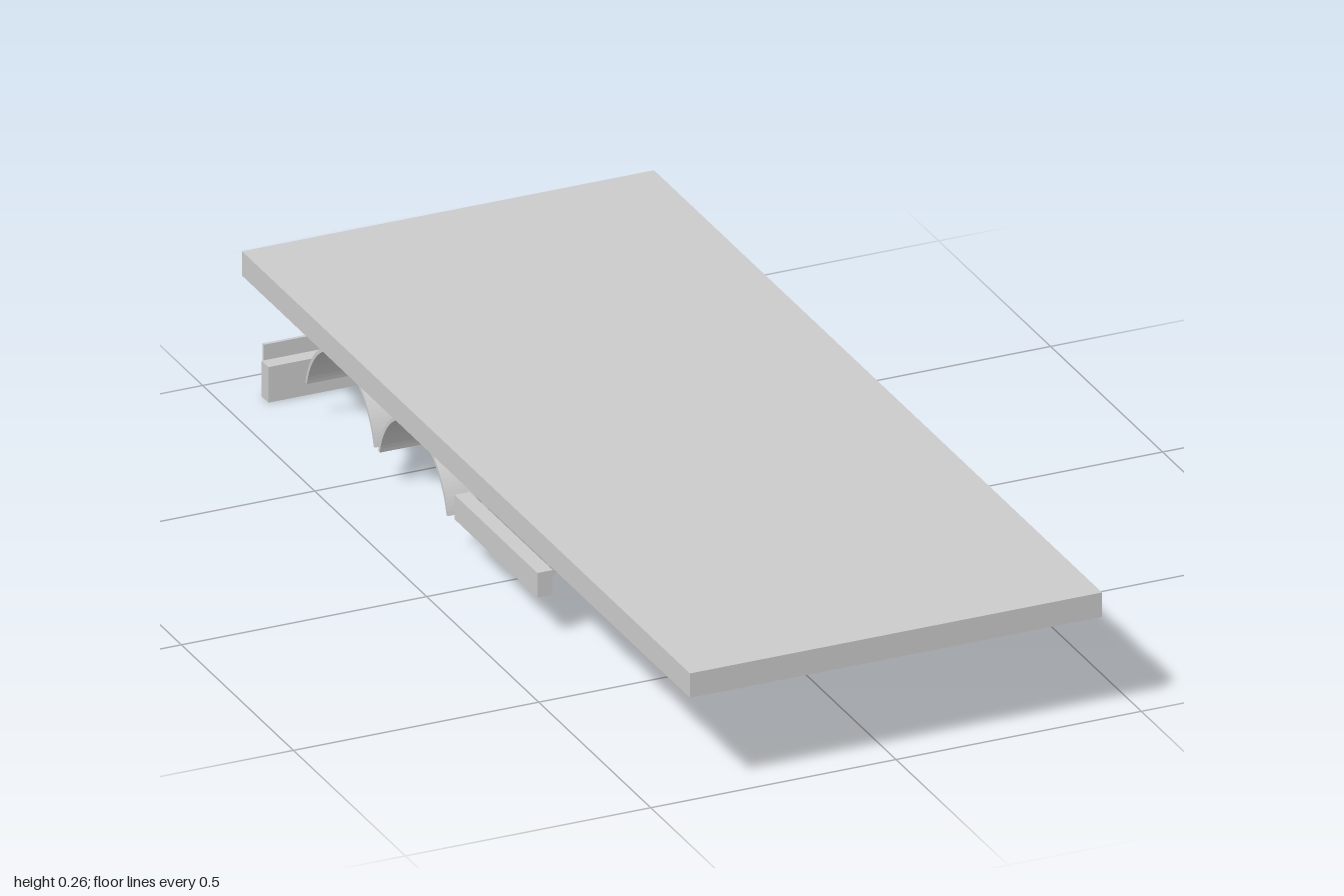
import * as THREE from 'three';

const grey = new THREE.MeshStandardMaterial({ color: 0xcccccc, side: THREE.DoubleSide });

export function createModel() {
  const root = new THREE.Group();

  const add = (name, geometry) => {
    const mesh = new THREE.Mesh(geometry, grey);
    mesh.name = name;
    root.add(mesh);
    return mesh;
  };
  // Box given by its limits on each axis
  const box = (name, x0, x1, y0, y1, z0, z1) => {
    const mesh = add(name, new THREE.BoxGeometry(Math.abs(x1 - x0), y1 - y0, z1 - z0));
    mesh.position.set((x0 + x1) / 2, (y0 + y1) / 2, (z0 + z1) / 2);
    return mesh;
  };
  // Side profile drawn as (z, y), extruded from x0 to x1
  const sideExtrude = (name, shape, x0, x1) => {
    const geometry = new THREE.ExtrudeGeometry(shape, { depth: x1 - x0, bevelEnabled: false, curveSegments: 24 });
    geometry.rotateY(-Math.PI / 2); // shape x -> +z, depth -> -x
    geometry.translate(x1, 0, 0);
    return add(name, geometry);
  };
  const rect = (x0, x1, y0, y1, Type = THREE.Shape) => new Type([
    new THREE.Vector2(x0, y0), new THREE.Vector2(x1, y0),
    new THREE.Vector2(x1, y1), new THREE.Vector2(x0, y1),
  ]);

  // Load deck, with a rear frame holding two light recesses
  box('deck', -0.42, 0.42, 0.21, 0.26, -0.99, 1);
  const frame = rect(-0.42, 0.42, 0.21, 0.26);
  for (const s of [-1, 1]) {
    frame.holes.push(rect(s * 0.29 - 0.12 * (s < 0), s * 0.29 + 0.12 * (s > 0), 0.215, 0.255, THREE.Path));
  }
  add('deckRearFrame', new THREE.ExtrudeGeometry(frame, { depth: 0.01, bevelEnabled: false })).position.z = -1;

  // Central chassis beam
  box('chassis', -0.176, 0.176, 0.137, 0.21, -0.81, 0.29);

  // Axles: profile with two raised pads, stub arms and hub plates
  for (const z of [-0.295, -0.62]) {
    const axle = new THREE.Shape([
      [-0.132, 0.03], [0.132, 0.03], [0.132, 0.085], [0.09, 0.085], [0.09, 0.137], [0.044, 0.137], [0.044, 0.085],
      [-0.044, 0.085], [-0.044, 0.137], [-0.09, 0.137], [-0.09, 0.085], [-0.132, 0.085],
    ].map(([x, y]) => new THREE.Vector2(x, y)));
    add('axle', new THREE.ExtrudeGeometry(axle, { depth: 0.06, bevelEnabled: false })).position.z = z - 0.03;
  }

  for (const s of [-1, 1]) {
    // Rear lights inside the recess
    for (let i = 0; i < 3; i++) {
      const x = s * (0.31 + i * 0.04);
      box('rearLight', x - 0.018, x + 0.018, 0.217, 0.253, -0.994, -0.989);
    }

    for (const z of [-0.295, -0.62]) {
      box('axleArm', s * 0.13, s * 0.27, 0.05, 0.065, z - 0.01, z + 0.01);
      box('hubPlate', s * 0.268, s * 0.293, 0.033, 0.083, z - 0.032, z + 0.032);

      // Mudguard arch
      const arch = new THREE.Shape();
      const a = 0.23;
      arch.absarc(z, 0.047, 0.16, a, Math.PI - a, false);
      arch.absarc(z, 0.047, 0.153, Math.PI - a, a, true);
      arch.closePath();
      const x0 = s > 0 ? 0.293 : -0.393;
      sideExtrude('mudguard', arch, x0, x0 + 0.1);
    }

    // Side guard rail with its hangers
    box('sideRail', s * 0.362, s * 0.393, 0.09, 0.14, -0.11, 0.26);
    for (const z of [0.24, -0.088]) box('railHanger', s * 0.351, s * 0.362, 0.12, 0.21, z - 0.007, z + 0.007);

    // Bumper supports: straight rod to the rear axle and curved strut to the deck
    box('bumperRod', s * 0.149, s * 0.161, 0.031, 0.045, -0.885, -0.585);
    const strut = new THREE.Shape();
    strut.moveTo(-0.841, 0.21);
    strut.quadraticCurveTo(-0.852, 0.125, -0.888, 0.065);
    strut.lineTo(-0.897, 0.065);
    strut.quadraticCurveTo(-0.86, 0.125, -0.848, 0.21);
    const x0 = s > 0 ? 0.15 : -0.158;
    sideExtrude('bumperStrut', strut, x0, x0 + 0.008);
    box('bumperPlate', s * 0.23, s * 0.415, 0.04, 0.105, -0.919, -0.912);
  }

  // Rear underrun bumper
  box('rearBumper', -0.42, 0.42, 0, 0.073, -0.912, -0.882);

  return root;
}
